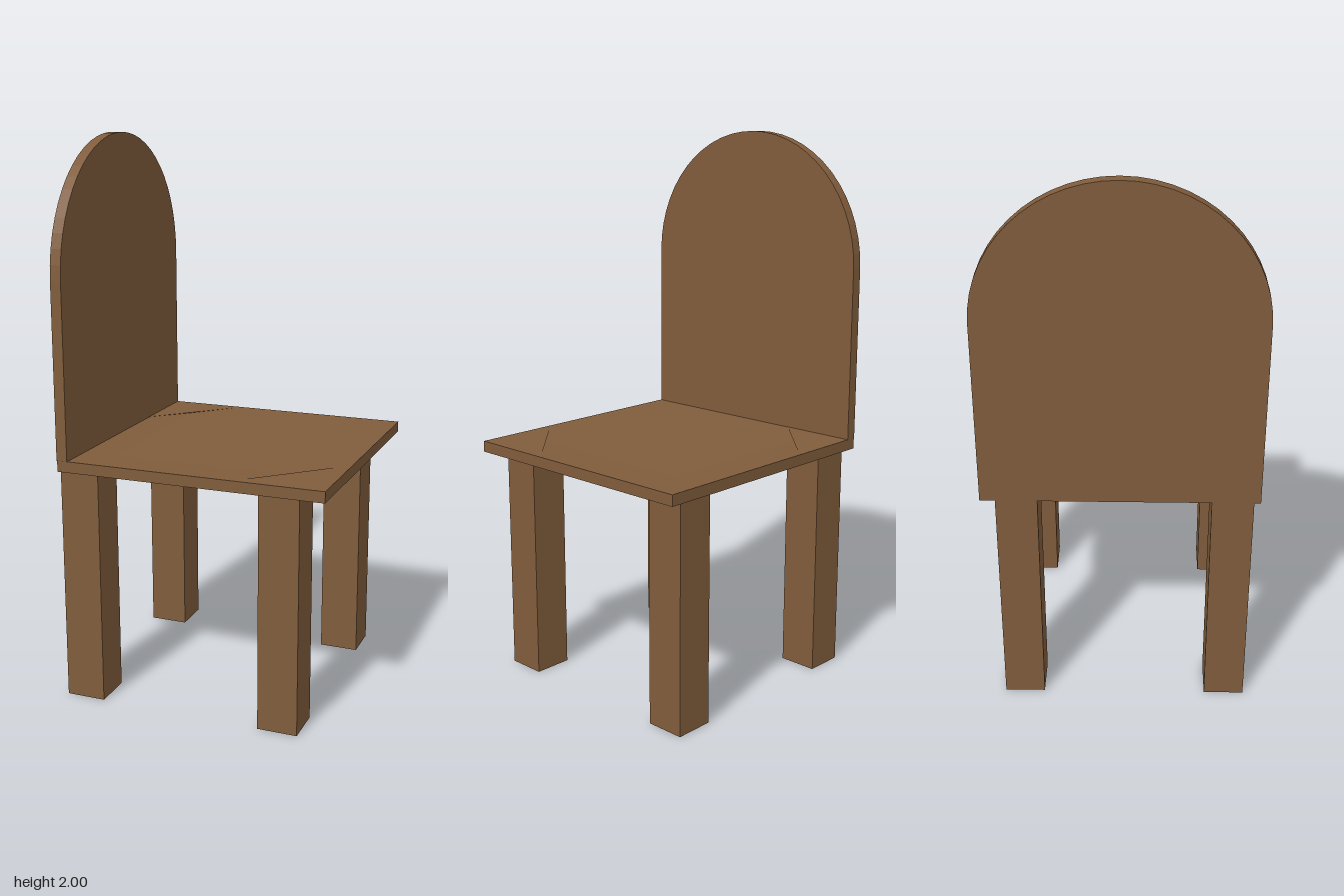
import * as THREE from 'three';

export function createModel() {
  const chair = new THREE.Group();
  chair.name = 'chair';
  const wood = new THREE.MeshStandardMaterial({ name: 'brown wood', color: 0x805c3c, flatShading: true });

  function addPart(name, geometry, x, y, z) {
    const mesh = new THREE.Mesh(geometry, wood);
    mesh.name = name;
    mesh.position.set(x, y, z);
    chair.add(mesh);
  }

  // Seat: thin slab whose top dips very slightly inside its border
  const seat = new THREE.BoxGeometry(0.975, 0.04, 0.955, 3, 1, 3);
  const pos = seat.attributes.position;
  for (let i = 0; i < pos.count; i++) {
    const x = pos.getX(i), z = pos.getZ(i);
    if (pos.getY(i) > 0 && Math.abs(x) < 0.4 && Math.abs(z) < 0.4) {
      pos.setXYZ(i, x * 2, 0.016, z * 2.08);
    }
  }
  seat.computeVertexNormals();
  addPart('seat', seat, 0, 0.875, 0);

  // Backrest: upright panel with a round top, standing on the -x edge
  const r = 0.477, bottom = 0.893, spring = 1.523;
  const arch = new THREE.Shape();
  arch.moveTo(-r, bottom);
  arch.lineTo(r, bottom);
  arch.lineTo(r, spring);
  arch.absarc(0, spring, r, 0, Math.PI, false);
  arch.closePath();
  const back = new THREE.ExtrudeGeometry(arch, { depth: 0.04, bevelEnabled: false, curveSegments: 14 });
  back.rotateY(Math.PI / 2);
  addPart('backrest', back, -0.49, 0, 0);

  // Four square legs
  const leg = new THREE.BoxGeometry(0.144, 0.856, 0.144);
  for (const [xName, x] of [['rear', -0.415], ['front', 0.322]]) {
    for (const [zName, z] of [['Near', 0.383], ['Far', -0.353]]) {
      addPart(xName + zName + 'Leg', leg, x, 0.428, z);
    }
  }
  return chair;
}
